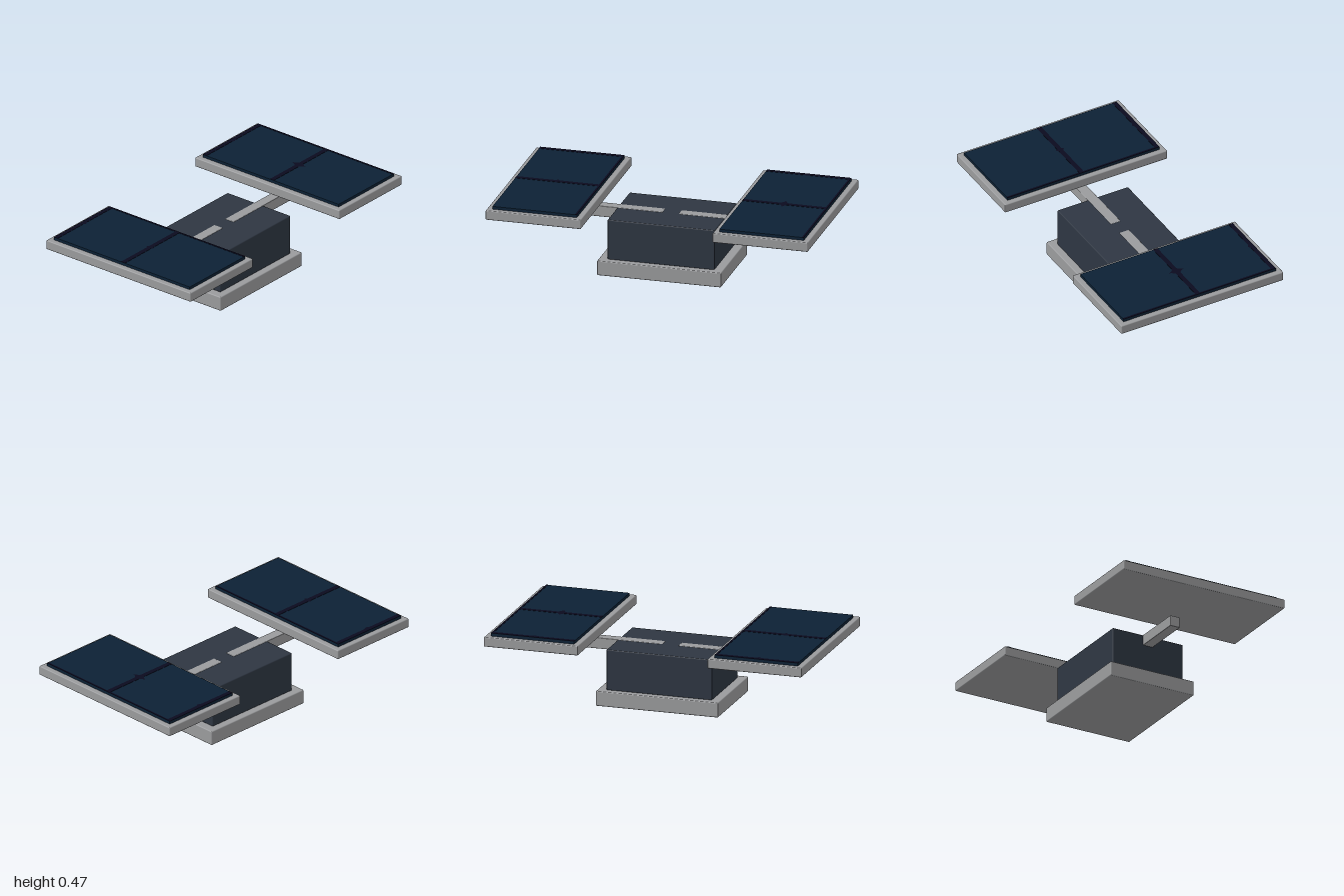
import * as THREE from 'three';
import { RoundedBoxGeometry } from 'three/addons/geometries/RoundedBoxGeometry.js';

export function createModel() {
  const model = new THREE.Group();
  model.name = 'solarPanelUnit';

  const paint = (name, color) => {
    const m = new THREE.MeshStandardMaterial({ color });
    m.name = name;
    return m;
  };
  const grey = paint('greyMetal', 0x9a9b9d);
  const slate = paint('slateHousing', 0x2e3642);
  const navy = paint('navyCells', 0x0c2135);
  const black = paint('darkCellLines', 0x0a0a1e);

  // Box given by its minimum and maximum corners, with an optional soft edge
  const box = (parent, name, mat, [x0, y0, z0], [x1, y1, z1], r = 0) => {
    const size = [x1 - x0, y1 - y0, z1 - z0];
    const geo = r ? new RoundedBoxGeometry(...size, 2, r) : new THREE.BoxGeometry(...size);
    const mesh = new THREE.Mesh(geo, mat);
    mesh.name = name;
    mesh.position.set((x0 + x1) / 2, (y0 + y1) / 2, (z0 + z1) / 2);
    parent.add(mesh);
  };

  // Base slab and central housing
  box(model, 'base', grey, [-0.385, 0, -0.287], [0.385, 0.092, 0.287], 0.006);
  box(model, 'housing', slate, [-0.332, 0.09, -0.242], [0.332, 0.343, 0.242], 0.006);

  // Four-pointed mark with concave sides, laid flat
  const star = (parent, x, y, z, rx, rz) => {
    const s = new THREE.Shape();
    s.moveTo(rx, 0);
    s.quadraticCurveTo(rx * 0.2, rz * 0.2, 0, rz);
    s.quadraticCurveTo(-rx * 0.2, rz * 0.2, -rx, 0);
    s.quadraticCurveTo(-rx * 0.2, -rz * 0.2, 0, -rz);
    s.quadraticCurveTo(rx * 0.2, -rz * 0.2, rx, 0);
    const mesh = new THREE.Mesh(new THREE.ShapeGeometry(s, 6), black);
    mesh.name = 'cellMark';
    mesh.rotation.x = -Math.PI / 2;
    mesh.position.set(x, y, z);
    parent.add(mesh);
  };

  for (const side of [-1, 1]) {
    const wing = new THREE.Group();
    wing.name = side > 0 ? 'leftWing' : 'rightWing';
    model.add(wing);
    const cx = side * 0.704;

    // Arm let into the top of the housing
    const ax = side * 0.352;
    box(wing, 'arm', grey, [ax - 0.302, 0.277, -0.033], [ax + 0.302, 0.345, 0.033], 0.004);

    // Panel frame and raised cell sheet
    box(wing, 'panelFrame', grey, [cx - 0.296, 0.388, -0.556], [cx + 0.296, 0.447, 0.556], 0.006);
    box(wing, 'cellSheet', navy, [cx - 0.262, 0.44, -0.522], [cx + 0.262, 0.465, 0.522]);

    // Dark lines between and around the cells
    const y0 = 0.464, y1 = 0.4665;
    box(wing, 'backLine', black, [cx - 0.262, y0, -0.522], [cx + 0.262, y1, -0.494]);
    box(wing, 'middleLine', black, [cx - 0.262, y0, -0.006], [cx + 0.262, y1, 0.024]);
    box(wing, 'edgeLine', black, [cx + 0.25, y0, -0.522], [cx + 0.262, y1, 0.522]);
    const rz = side > 0 ? 0.05 : 0.028;
    star(wing, cx - 0.006, y1 + 0.0005, 0.009, 0.06, rz);
    star(wing, cx - 0.006, y1 + 0.0005, -0.498, 0.05, 0.016);
  }

  return model;
}
